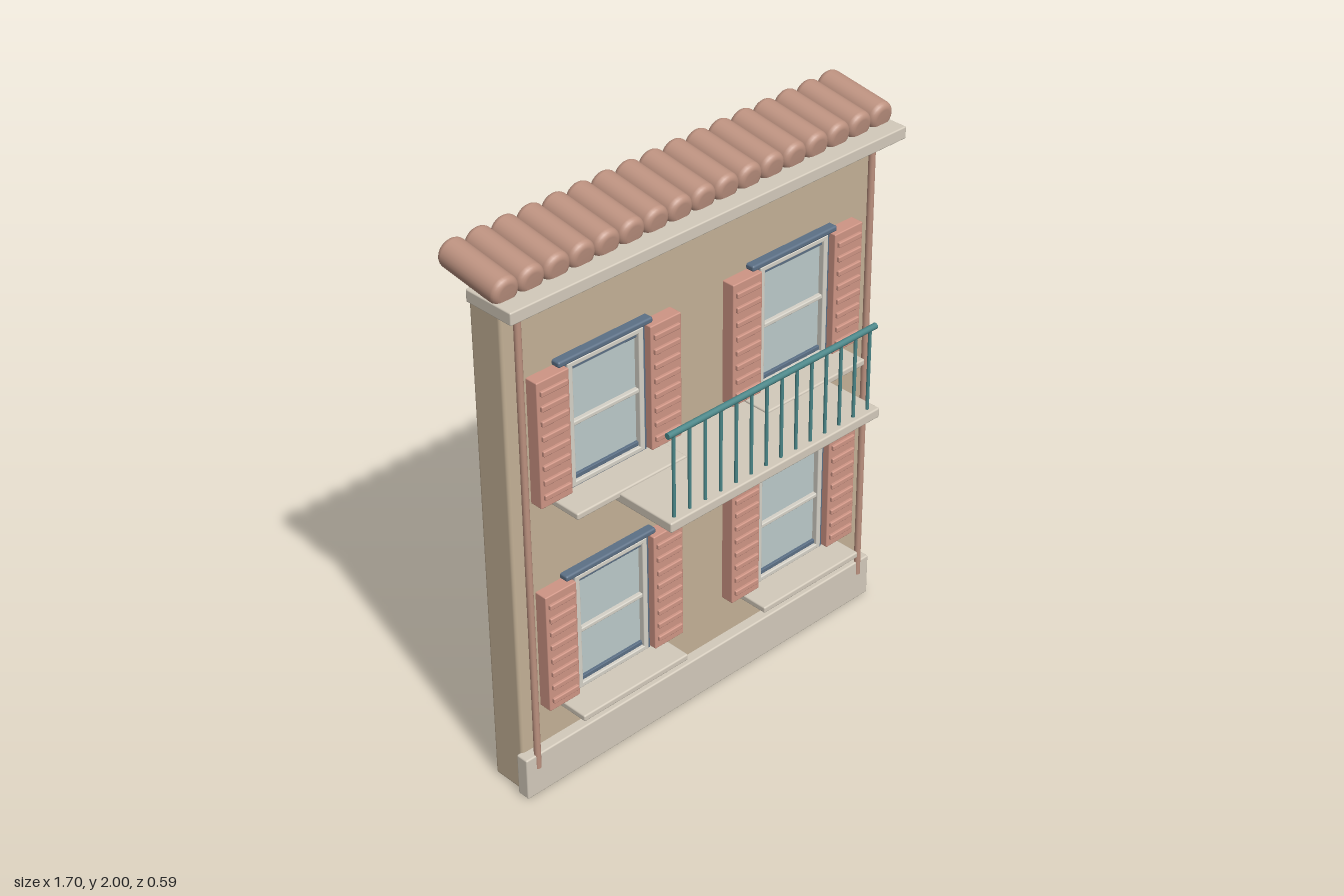
import * as THREE from 'three';
import { RoundedBoxGeometry } from 'three/addons/geometries/RoundedBoxGeometry.js';

const mat = (color) => new THREE.MeshStandardMaterial({ color });
const MAT = {
  wall: mat(0xc4b196), stone: mat(0xd3cabb), tile: mat(0xbd9280), shutter: mat(0xcf9585),
  blue: mat(0x5c7086), sash: mat(0xd6d2c8), glass: mat(0xbccaca), iron: mat(0x4a8688),
};

// Softly bevelled block given by its extents on each axis
function block(parent, name, material, [x0, x1], [y0, y1], [z0, z1], bevel = 0.004) {
  const size = [x1 - x0, y1 - y0, z1 - z0];
  const radius = Math.min(bevel, Math.min(...size) * 0.45);
  const mesh = new THREE.Mesh(new RoundedBoxGeometry(...size, 2, radius), material);
  mesh.position.set((x0 + x1) / 2, (y0 + y1) / 2, (z0 + z1) / 2);
  mesh.name = name;
  parent.add(mesh);
  return mesh;
}

// Upright round bar
function bar(parent, name, material, r, x, [y0, y1], z) {
  const mesh = new THREE.Mesh(new THREE.CylinderGeometry(r, r, y1 - y0, 12), material);
  mesh.position.set(x, (y0 + y1) / 2, z);
  mesh.name = name;
  parent.add(mesh);
  return mesh;
}

// Shutter panel with raised louvres, centred on x
function addShutter(parent, x) {
  const shutter = new THREE.Group();
  shutter.name = 'shutter';
  block(shutter, 'shutterPanel', MAT.shutter, [x - 0.065, x + 0.065], [0.32, 0.775], [-0.078, -0.026]);
  for (let i = 0; i < 8; i++) {
    const y = 0.36 + i * 0.0535;
    block(shutter, 'louvre', MAT.shutter, [x - 0.054, x + 0.054], [y - 0.01, y + 0.01], [-0.04, -0.016]);
  }
  parent.add(shutter);
}

// Window with surround, sash, glass, sill and a pair of shutters
function makeWindow() {
  const w = new THREE.Group();
  w.name = 'window';
  // Surround
  for (const s of [-1, 1]) {
    const xs = [s * 0.15, s * 0.17].sort((a, b) => a - b);
    block(w, 'surroundPost', MAT.blue, xs, [0.31, 0.78], [-0.085, -0.053]);
    addShutter(w, s * 0.233);
  }
  block(w, 'lintel', MAT.blue, [-0.194, 0.194], [0.774, 0.795], [-0.085, -0.042], 0.007);
  block(w, 'surroundBase', MAT.blue, [-0.17, 0.17], [0.31, 0.325], [-0.085, -0.053]);
  // Sash
  for (const s of [-1, 1]) {
    const xs = [s * 0.136, s * 0.156].sort((a, b) => a - b);
    block(w, 'sashStile', MAT.sash, xs, [0.322, 0.774], [-0.085, -0.045]);
  }
  block(w, 'sashTop', MAT.sash, [-0.15, 0.15], [0.756, 0.774], [-0.085, -0.045]);
  block(w, 'sashBottom', MAT.sash, [-0.15, 0.15], [0.322, 0.34], [-0.085, -0.045]);
  block(w, 'sashMiddle', MAT.sash, [-0.14, 0.14], [0.539, 0.555], [-0.085, -0.05]);
  // Glass and its dark edging
  block(w, 'glass', MAT.glass, [-0.14, 0.14], [0.33, 0.765], [-0.085, -0.066], 0.002);
  for (const y of [0.348, 0.748])
    block(w, 'glassEdging', MAT.blue, [-0.138, 0.138], [y - 0.008, y + 0.008], [-0.08, -0.056], 0.002);
  block(w, 'sill', MAT.stone, [-0.232, 0.232], [0.292, 0.316], [-0.085, 0.065], 0.006);
  return w;
}

function addRoofTiles(parent) {
  const r = 0.051, half = 0.133, round = 0.022;
  // Round bar profile with rounded ends
  const profile = [new THREE.Vector2(0, -half)];
  for (const end of [-1, 1]) {
    for (let i = 0; i <= 5; i++) {
      const a = (end < 0 ? i : 5 - i) / 5 * Math.PI / 2;
      profile.push(new THREE.Vector2(r - round + round * Math.sin(a), end * (half - round + round * Math.cos(a))));
    }
  }
  profile.push(new THREE.Vector2(0, half));
  const geometry = new THREE.LatheGeometry(profile, 28);
  const roof = new THREE.Group();
  roof.name = 'roofTiles';
  for (let i = 0; i < 17; i++) {
    const tile = new THREE.Mesh(geometry, MAT.tile);
    tile.name = 'roofTile';
    tile.position.set((i - 8) * 0.0996, 1.933, -0.162);
    tile.rotation.x = Math.PI / 2 + 0.15;
    roof.add(tile);
  }
  parent.add(roof);
}

function addBalcony(parent) {
  const balcony = new THREE.Group();
  balcony.name = 'balcony';
  block(balcony, 'balconySlab', MAT.stone, [-0.468, 0.468], [1.066, 1.102], [-0.085, 0.294], 0.006);
  for (let i = 0; i < 14; i++)
    bar(balcony, 'baluster', MAT.iron, 0.006, -0.433 + i * 0.0666, [1.095, 1.405], 0.27);
  const rail = bar(balcony, 'handrail', MAT.iron, 0.011, 0, [-0.458, 0.458], 0.27);
  rail.rotation.z = Math.PI / 2;
  rail.position.y = 1.406;
  parent.add(balcony);
}

export function createModel() {
  const model = new THREE.Group();
  model.name = 'houseFacade';

  // Main masses
  block(model, 'wall', MAT.wall, [-0.796, 0.796], [0, 1.88], [-0.218, -0.074], 0.014);
  block(model, 'plinth', MAT.stone, [-0.812, 0.812], [0.003, 0.165], [-0.085, -0.035], 0.006);
  block(model, 'cornice', MAT.stone, [-0.842, 0.842], [1.846, 1.89], [-0.17, 0.03], 0.005);
  addRoofTiles(model);

  // Two storeys of two windows
  for (const y of [0, 0.794]) {
    for (const x of [-0.412, 0.412]) {
      const w = makeWindow();
      w.position.set(x, y, 0);
      model.add(w);
    }
  }
  addBalcony(model);

  // Drainpipes
  for (const x of [-0.76, 0.76]) bar(model, 'drainpipe', MAT.tile, 0.012, x, [0.11, 1.825], -0.041);
  return model;
}
